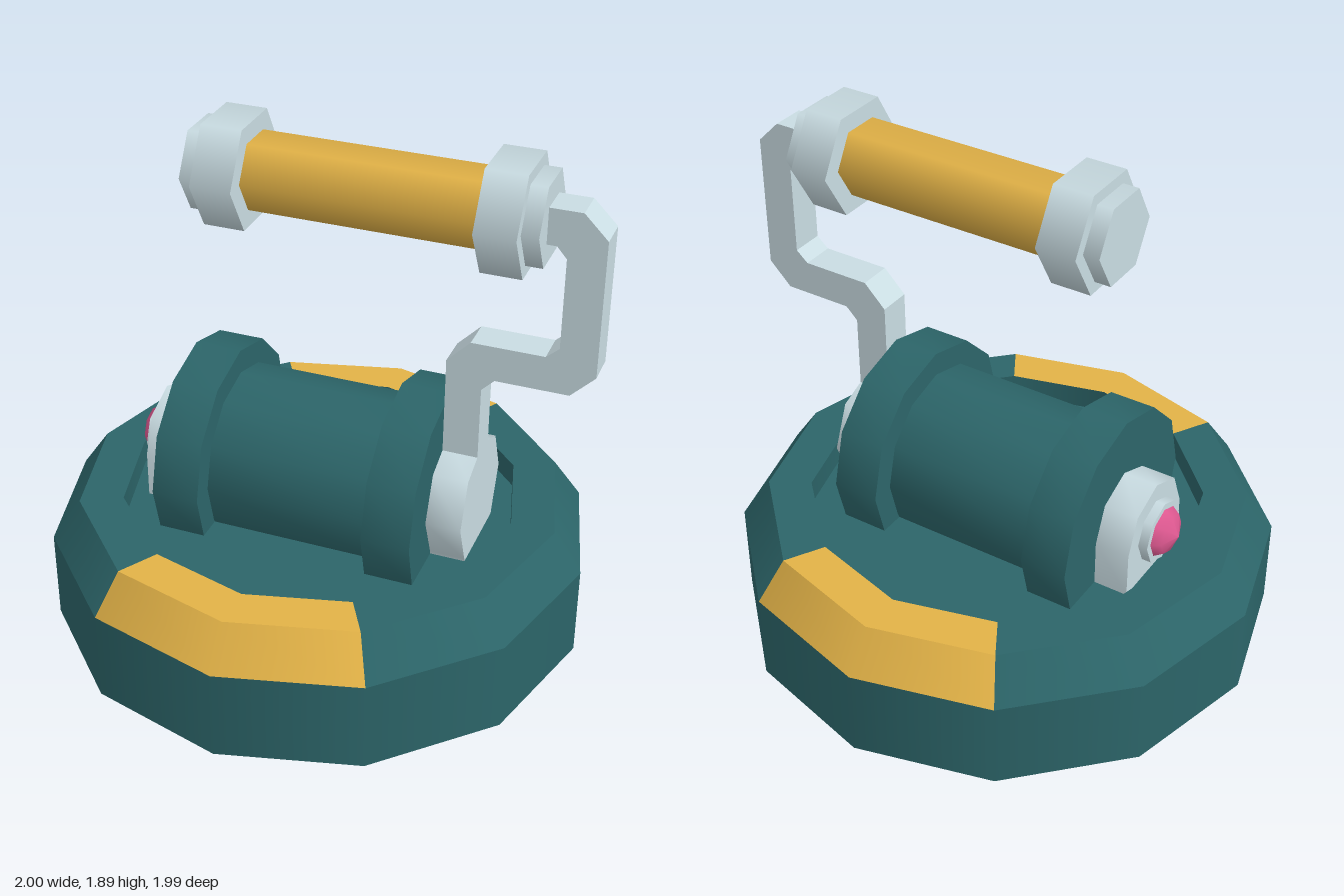
import * as THREE from 'three';

const mat = (name, color) => {
  const m = new THREE.MeshStandardMaterial({ color, side: THREE.DoubleSide });
  m.name = name;
  return m;
};
const points = (list) => list.map((p) => new THREE.Vector2(...p));
const polygon = (r, sides, y = 0) => Array.from({ length: sides }, (_, i) => {
  const a = i * 2 * Math.PI / sides;
  return [r * Math.cos(a), y + r * Math.sin(a)];
});

export function createModel() {
  const teal = mat('teal', 0x2c6569);
  const gold = mat('gold', 0xe2b247);
  const silver = mat('silver', 0xc9dce2);
  const pink = mat('pink', 0xdd5890);
  const model = new THREE.Group();

  const add = (name, geometry, material) => {
    const mesh = new THREE.Mesh(geometry, material);
    mesh.name = name;
    model.add(mesh);
  };

  // Base: twelve-sided hollow tub, open below, with a sunken floor
  const R = 0.995, rim = 0.89, well = 0.73;
  const wallY = 0.34, rimY = 0.49, floorY = 0.4, axle = 0.575;
  const step = Math.PI / 6;
  const band = (name, a, b, start, count, material) =>
    add(name, new THREE.LatheGeometry(points([a, b]), count, start * step, count * step), material);
  band('baseWall', [R, 0], [R, wallY], 0, 12, teal);
  // Gold sections at front and back, teal ones at the sides
  for (const [start, count, material] of [[-1, 2, gold], [1, 4, teal], [5, 2, gold], [7, 4, teal]]) {
    band('rimBevel', [R, wallY], [rim, rimY], start, count, material);
    band('rimTop', [rim, rimY], [well, rimY], start, count, material);
  }
  band('wellWall', [well, rimY], [well, floorY], 0, 12, teal);

  // Housing sections along x: arched hollow shells that open through the floor.
  // sides: of the full circle, below: steps kept under the axle, foot: half width at the floor
  const section = (x0, x1, r, sides, below, foot) => {
    const profile = [[foot, floorY]];
    for (let i = -below; i <= sides / 2 + below; i++) {
      const a = i * 2 * Math.PI / sides;
      profile.push([r * Math.cos(a), axle + r * Math.sin(a)]);
    }
    profile.push([-foot, floorY]);
    return { x0, x1, foot, profile };
  };
  const knob = section(-0.62, -0.49, 0.19, 8, 0, 0.19);
  const flangeA = section(-0.49, -0.315, 0.405, 12, 0, 0.36);
  const drum = section(-0.315, 0.305, 0.315, 12, 1, 0.265);
  const flangeB = section(0.305, 0.482, 0.405, 12, 0, 0.36);
  const hub = section(0.482, 0.61, 0.23, 8, 1, 0.16);

  const shell = (name, { x0, x1, profile }, material) => {
    const pos = [], index = [];
    profile.forEach(([z, y], i) => {
      pos.push(x0, y, z, x1, y, z);
      const a = 2 * i;
      if (i < profile.length - 1) index.push(a, a + 1, a + 2, a + 1, a + 3, a + 2);
    });
    const g = new THREE.BufferGeometry();
    g.setAttribute('position', new THREE.Float32BufferAttribute(pos, 3));
    g.setIndex(index);
    g.computeVertexNormals();
    add(name, g, material);
  };
  // Flat end plate at x; facing is +1 or -1
  const plate = (name, x, shape, facing, material) =>
    add(name, new THREE.ShapeGeometry(shape).rotateY(facing * Math.PI / 2).translate(x, 0, 0), material);
  // Plate filling the step between a larger and a smaller section
  const stepPlate = (name, x, outer, inner, facing) =>
    plate(name, x, new THREE.Shape(points([...outer.profile, ...[...inner.profile].reverse()])), facing, teal);

  shell('knob', knob, silver);
  shell('drumFlange', flangeA, teal);
  shell('drum', drum, teal);
  shell('drumFlange', flangeB, teal);
  shell('crankHub', hub, silver);
  stepPlate('flangeOuterFace', flangeA.x0, flangeA, knob, -1);
  stepPlate('flangeInnerFace', flangeA.x1, flangeA, drum, 1);
  stepPlate('flangeInnerFace', flangeB.x0, flangeB, drum, -1);
  stepPlate('flangeOuterFace', flangeB.x1, flangeB, hub, 1);
  plate('crankHubFace', hub.x1, new THREE.Shape(points(hub.profile)), 1, silver);

  // Knob face, stepped collar and pink button
  const knobFace = new THREE.Shape(points(knob.profile));
  knobFace.holes.push(new THREE.Path(points(polygon(0.12, 8, axle))));
  plate('knobFace', knob.x0, knobFace, -1, silver);
  const collar = new THREE.CylinderGeometry(0.12, 0.12, 0.035, 8, 1, true);
  add('knobCollar', collar.rotateZ(Math.PI / 2).translate(-0.6375, axle, 0), silver);
  const collarFace = new THREE.RingGeometry(0.095, 0.12, 8);
  add('knobCollarFace', collarFace.rotateY(-Math.PI / 2).translate(-0.655, axle, 0), silver);
  const dome = points([[0.095, 0], [0.075, 0.032], [0, 0.062]]);
  add('button', new THREE.LatheGeometry(dome, 8).rotateZ(Math.PI / 2).translate(-0.655, axle, 0), pink);

  // Floor with an opening under the housing
  const side = [knob, flangeA, drum, flangeB, hub].flatMap((s) => [[s.x0, s.foot], [s.x1, s.foot]]);
  const floor = new THREE.Shape(points(polygon(well, 12)));
  floor.holes.push(new THREE.Path(points([...side, ...side.map(([x, z]) => [x, -z]).reverse()])));
  add('floor', new THREE.ShapeGeometry(floor).rotateX(-Math.PI / 2).translate(0, floorY, 0), teal);

  // Cranked arm
  const outline = new THREE.Shape(points([
    [0.482, 0.76], [0.61, 0.76], [0.61, 1.055], [0.655, 1.1], [0.915, 1.1], [1, 1.185],
    [1, 1.685], [0.915, 1.77], [0.79, 1.77], [0.79, 1.64], [0.835, 1.64], [0.87, 1.6],
    [0.87, 1.27], [0.825, 1.23], [0.565, 1.23], [0.482, 1.145],
  ]));
  const arm = new THREE.ExtrudeGeometry(outline, { depth: 0.124, bevelEnabled: false });
  add('crankArm', arm.translate(0, 0, -0.062), silver);

  // Handle: hexagonal grip with stepped collars
  const bar = (name, x0, x1, r, material) => {
    const g = new THREE.CylinderGeometry(r, r, x1 - x0, 6);
    add(name, g.rotateZ(Math.PI / 2).translate((x0 + x1) / 2, 1.705, 0), material);
  };
  bar('grip', -0.24, 0.595, 0.139, gold);
  bar('gripCollar', -0.39, -0.24, 0.212, silver);
  bar('gripCollar', 0.595, 0.74, 0.212, silver);
  bar('gripEndCap', -0.45, -0.39, 0.165, silver);
  bar('gripEndCap', 0.74, 0.8, 0.165, silver);

  return model;
}
